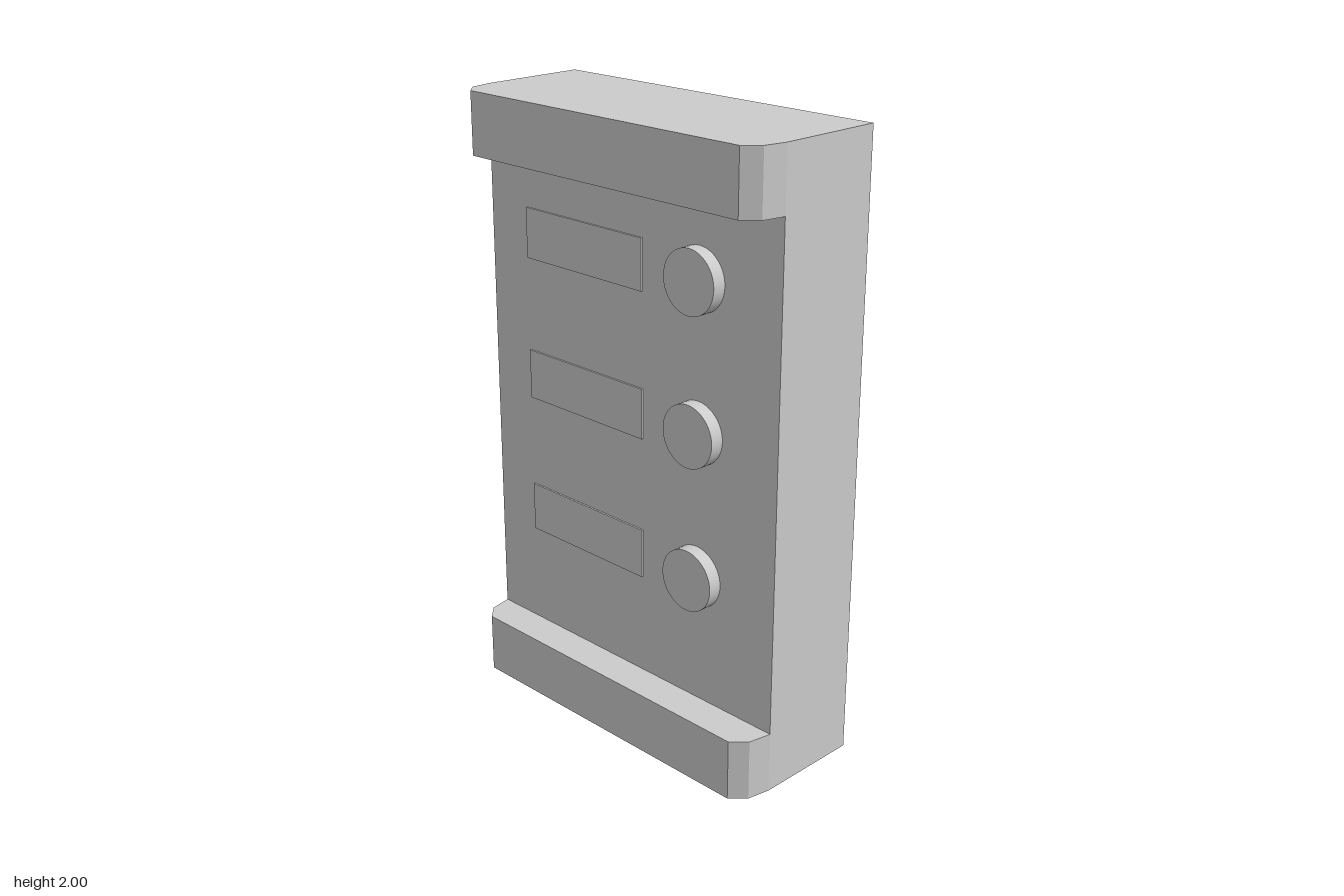
import * as THREE from 'three';

const material = new THREE.MeshStandardMaterial({ color: 0xcccccc });
const HALF_W = 0.615, BACK = -0.24, PANEL = 0.12, FRONT = 0.24;

function add(parent, name, geometry, x, y, z) {
  const mesh = new THREE.Mesh(geometry, material);
  mesh.name = name;
  mesh.position.set(x, y, z);
  parent.add(mesh);
  return mesh;
}

// Plan outline of the end caps, with chamfered front corners (shape y = -z)
function capGeometry(height) {
  const half = [[HALF_W, BACK], [HALF_W, PANEL], [0.6, 0.195], [0.555, FRONT]];
  const outline = [...half, ...half.map(([x, z]) => [-x, z]).reverse()];
  const shape = new THREE.Shape(outline.map(([x, z]) => new THREE.Vector2(x, -z)));
  const geometry = new THREE.ExtrudeGeometry(shape, { depth: height, bevelEnabled: false });
  return geometry.rotateX(-Math.PI / 2);
}

export function createModel() {
  const group = new THREE.Group();
  group.name = 'doorbellPanel';

  // Housing between the two caps
  add(group, 'housing', new THREE.BoxGeometry(HALF_W * 2, 1.6, PANEL - BACK), 0, 1, (PANEL + BACK) / 2);

  // Projecting caps at both ends
  const cap = capGeometry(0.2);
  add(group, 'bottomCap', cap, 0, 0, 0);
  add(group, 'topCap', cap, 0, 1.8, 0);

  // Three rows, each with a thin label plate and a round push button
  const plate = new THREE.BoxGeometry(0.515, 0.163, 0.012);
  const button = new THREE.CylinderGeometry(0.1, 0.1, 0.055, 48).rotateX(Math.PI / 2);
  for (let i = 0; i < 3; i++) {
    const row = new THREE.Group();
    row.name = 'bellRow' + (i + 1);
    row.position.set(0, 1.56 - i * 0.47, PANEL);
    add(row, 'labelPlate', plate, -0.188, -0.004, 0);
    add(row, 'pushButton', button, 0.3, 0, 0.0175);
    group.add(row);
  }
  return group;
}
